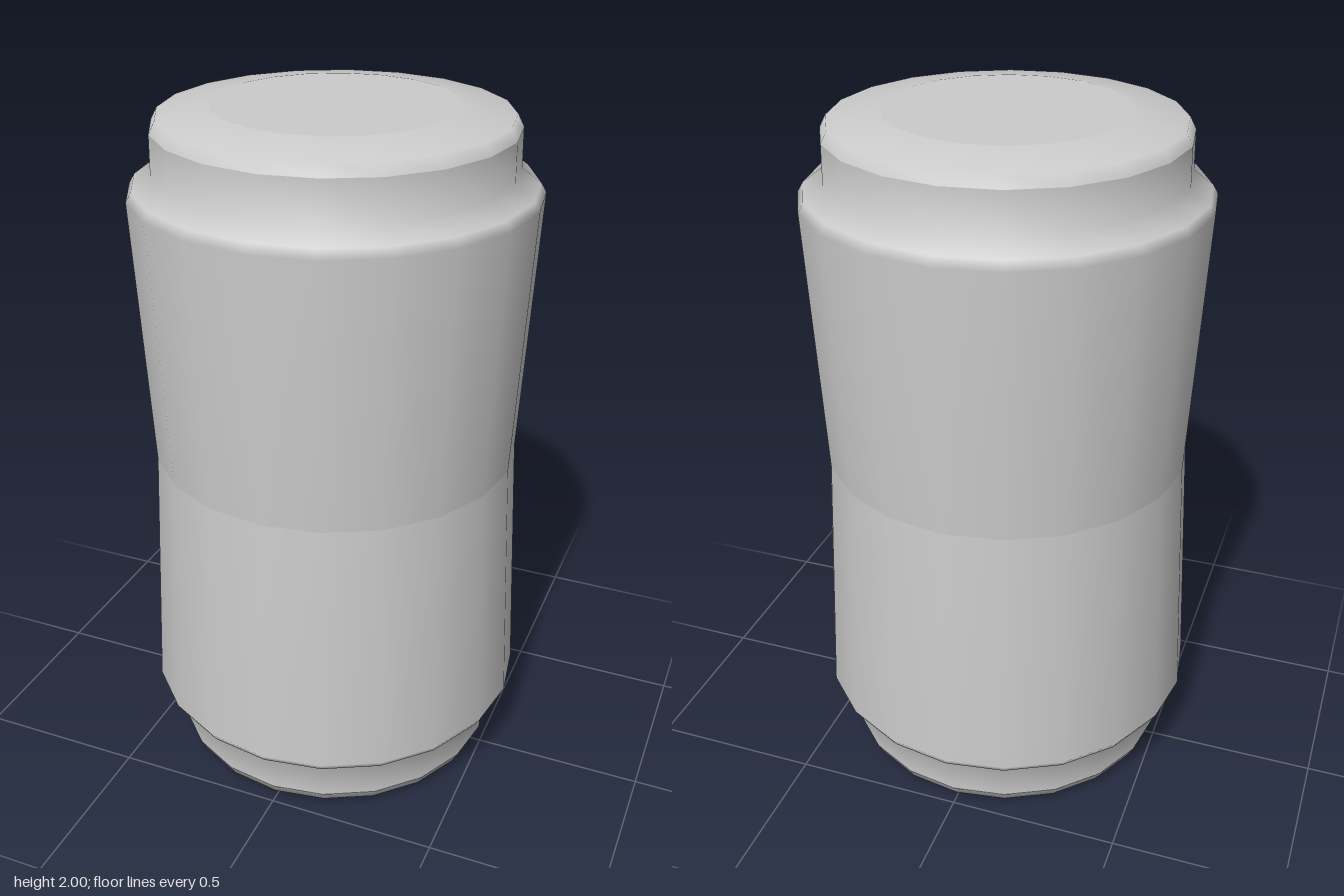
import * as THREE from 'three';

const SIDES = 20;

// Upper-half profiles as [radius, height], listed from bottom to top
const profiles = {
  Wall: [[0.53, 1], [0.566, 1.77], [0.551, 1.795], [0.497, 1.835], [0.495, 1.945]],
  Bevel: [[0.495, 1.945], [0.478, 1.978], [0.335, 2]],
  Lid: [[0.335, 2], [0, 2]],
};

export function createModel() {
  const group = new THREE.Group();
  group.name = 'can';
  const material = new THREE.MeshStandardMaterial({ color: 0xcccccc });

  // Separate lathes keep the waist, bevel and lid edges crisp
  const addRing = (name, points) => {
    const profile = points.map(([r, y]) => new THREE.Vector2(r, y));
    const mesh = new THREE.Mesh(new THREE.LatheGeometry(profile, SIDES), material);
    mesh.name = name;
    group.add(mesh);
  };

  // The lower half mirrors the upper one about the waist
  for (const [part, points] of Object.entries(profiles)) {
    addRing(`upper${part}`, points);
    addRing(`lower${part}`, points.map(([r, y]) => [r, 2 - y]).reverse());
  }
  return group;
}
